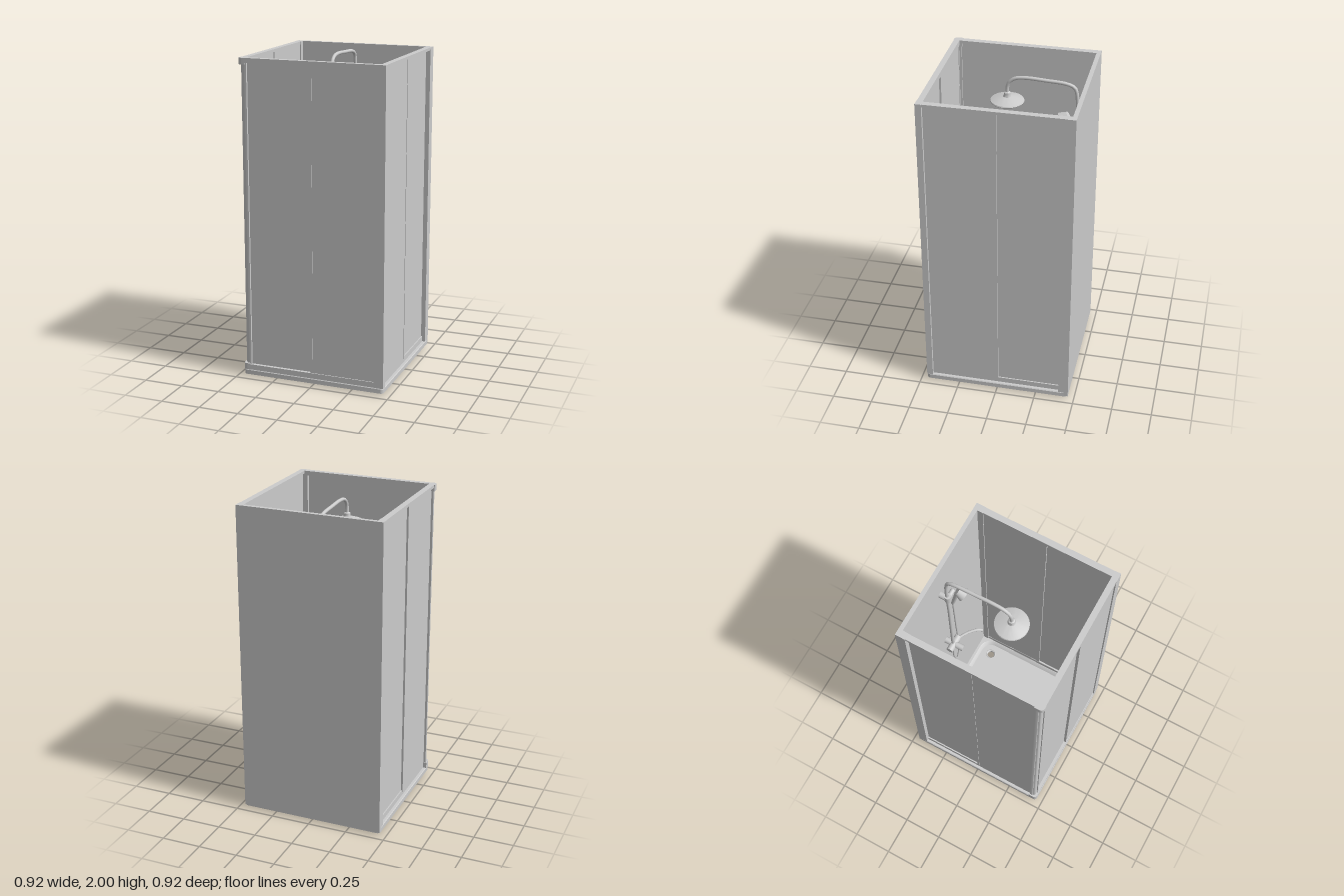
import * as THREE from 'three';
import { toCreasedNormals } from 'three/addons/utils/BufferGeometryUtils.js';

const grey = new THREE.MeshStandardMaterial({ color: 0xcccccc });
const thin = new THREE.MeshStandardMaterial({ color: 0xcccccc, side: THREE.DoubleSide });
const V = (x, y, z) => new THREE.Vector3(x, y, z);

function add(parent, name, geometry, material = grey) {
  const mesh = new THREE.Mesh(geometry, material);
  mesh.name = name;
  parent.add(mesh);
  return mesh;
}

// Box given by its limits on each axis
function box(parent, name, [x0, x1], [y0, y1], [z0, z1]) {
  const mesh = add(parent, name, new THREE.BoxGeometry(x1 - x0, y1 - y0, z1 - z0));
  mesh.position.set((x0 + x1) / 2, (y0 + y1) / 2, (z0 + z1) / 2);
  return mesh;
}

// Round bar between two points
function rod(parent, name, a, b, r0, r1 = r0) {
  const mesh = add(parent, name, new THREE.CylinderGeometry(r1, r0, a.distanceTo(b), 24));
  mesh.position.copy(a).lerp(b, 0.5);
  mesh.quaternion.setFromUnitVectors(V(0, 1, 0), b.clone().sub(a).normalize());
  return mesh;
}

function tube(parent, name, points, radius) {
  const curve = new THREE.CatmullRomCurve3(points, false, 'centripetal');
  return add(parent, name, new THREE.TubeGeometry(curve, 64, radius, 16), thin);
}

function lathe(parent, name, profile, position) {
  const points = profile.map(([r, y]) => new THREE.Vector2(r, y));
  const geometry = toCreasedNormals(new THREE.LatheGeometry(points, 48), 0.6);
  const mesh = add(parent, name, geometry, thin);
  mesh.position.copy(position);
  return mesh;
}

// Outline of a square with rounded corners: half size h, corner radius r
function roundedSquare(h, r, steps = 8) {
  const points = [];
  for (let c = 0; c < 4; c++) {
    const mid = Math.PI / 4 + c * Math.PI / 2;
    const cx = Math.sign(Math.cos(mid)) * (h - r), cz = Math.sign(Math.sin(mid)) * (h - r);
    for (let i = 0; i <= steps; i++) {
      const a = (c + i / steps) * Math.PI / 2;
      points.push(new THREE.Vector2(cx + r * Math.cos(a), cz + r * Math.sin(a)));
    }
  }
  return points;
}

// Skin through rounded square rings given as [half size, radius, y]
function loft(rings) {
  const positions = [], index = [];
  const n = roundedSquare(1, 0.1).length;
  rings.forEach(([h, r, y], k) => {
    roundedSquare(h, r).forEach((p, i) => {
      positions.push(p.x, y, p.y);
      if (k === 0) return;
      const a = (k - 1) * n + i, b = (k - 1) * n + (i + 1) % n;
      index.push(a, a + n, b, b, a + n, b + n);
    });
  });
  const geometry = new THREE.BufferGeometry();
  geometry.setAttribute('position', new THREE.Float32BufferAttribute(positions, 3));
  geometry.setIndex(index);
  return toCreasedNormals(geometry, 0.5);
}

// Upright profile at the front left corner, rounded on its outer edge
function cornerProfile(parent, name, [x0, x1], [z0, z1], [y0, y1], r) {
  const s = new THREE.Shape();
  s.moveTo(x0, -z0);
  s.lineTo(x0, -z1 + r);
  s.quadraticCurveTo(x0, -z1, x0 + r, -z1);
  s.lineTo(x1, -z1);
  s.lineTo(x1, -z0);
  const geometry = new THREE.ExtrudeGeometry(s, { depth: y1 - y0, bevelEnabled: false, curveSegments: 10 });
  geometry.rotateX(-Math.PI / 2).translate(0, y0, 0);
  add(parent, name, toCreasedNormals(geometry, 0.5));
}

function makeTray() {
  const tray = new THREE.Group();
  tray.name = 'tray';
  add(tray, 'trayRim', loft([
    [0.435, 0.02, 0.036], [0.445, 0.02, 0.014], [0.46, 0.02, 0.014], [0.46, 0.02, 0.041],
    [0.456, 0.018, 0.046], [0.42, 0.085, 0.046], [0.415, 0.082, 0.042], [0.4, 0.07, 0.02],
  ]), thin);
  const floor = new THREE.Shape(roundedSquare(0.4, 0.07));
  floor.holes.push(new THREE.Path().absarc(0.33, 0.33, 0.033, 0, Math.PI * 2, true));
  add(tray, 'trayFloor', new THREE.ShapeGeometry(floor, 32).rotateX(-Math.PI / 2).translate(0, 0.02, 0), thin);
  lathe(tray, 'drain', [[0.034, 0.02], [0.031, 0.022], [0.024, 0.016], [0.024, 0], [0.03, 0], [0.03, 0.02]],
    V(0.33, 0, -0.33));
  return tray;
}

function makeFront() {
  const front = new THREE.Group();
  front.name = 'frontDoors';
  box(front, 'topRail', [-0.42, 0.46], [1.97, 2], [0.422, 0.458]);
  box(front, 'bottomRail', [-0.42, 0.46], [0.046, 0.08], [0.422, 0.458]);
  box(front, 'frontPost', [0.4, 0.46], [0.046, 2], [0.422, 0.46]);
  box(front, 'slidingPanel', [-0.42, 0.01], [0.08, 1.97], [0.428, 0.438]);
  box(front, 'fixedPanel', [0, 0.4], [0.08, 1.97], [0.442, 0.452]);
  box(front, 'meetingStile', [-0.012, 0.002], [0.08, 1.97], [0.428, 0.454]);
  box(front, 'leftStile', [-0.422, -0.412], [0.08, 1.97], [0.425, 0.452]);
  // Recessed corner upright between two caps
  cornerProfile(front, 'cornerPost', [-0.45, -0.422], [0.41, 0.446], [0.08, 1.96], 0.018);
  cornerProfile(front, 'cornerPostEdge', [-0.455, -0.445], [0.41, 0.43], [0.08, 1.96], 0.004);
  cornerProfile(front, 'topCornerCap', [-0.463, -0.42], [0.405, 0.46], [1.96, 2], 0.025);
  cornerProfile(front, 'bottomCornerCap', [-0.463, -0.42], [0.405, 0.46], [0.046, 0.085], 0.025);
  return front;
}

function makeSide(s, name) {
  const side = new THREE.Group();
  side.name = name;
  const span = (a, b) => (s > 0 ? [a, b] : [-b, -a]);
  box(side, 'topRail', span(0.42, 0.458), [1.982, 2], [-0.4, 0.425]);
  box(side, 'bottomRail', span(0.422, 0.44), [0.046, 0.08], [-0.4, 0.425]);
  box(side, 'wallPost', span(0.418, 0.46), [0.046, 2], [-0.436, -0.4]);
  box(side, 'frontPanel', span(0.433, 0.441), [0.07, 1.983], [-0.005, 0.425]);
  box(side, 'rearPanel', span(0.424, 0.432), [0.07, 1.983], [-0.4, 0.01]);
  box(side, 'meetingStile', span(0.424, 0.444), [0.07, 1.983], [-0.006, 0.008]);
  rod(side, 'screw', V(s * 0.44, 1.999, -0.408), V(s * 0.44, 2, -0.408), 0.005);
  return side;
}

function makeShower() {
  const shower = new THREE.Group();
  shower.name = 'shower';
  const x = -0.035, z = -0.385;
  // Riser bending over into the arm
  tube(shower, 'riserAndArm', [
    V(x, 1, z), V(x, 1.5, z), V(x, 1.9, z), V(x, 1.945, z + 0.015), V(x, 1.965, z + 0.06),
    V(x, 1.975, -0.2), V(x, 1.98, -0.07), V(x, 1.97, -0.01), V(x, 1.94, 0.025), V(x, 1.9, 0.035), V(x, 1.87, 0.035),
  ], 0.011);
  lathe(shower, 'rainHead', [
    [0, -0.012], [0.1, -0.012], [0.103, -0.008], [0.1, -0.002], [0.06, 0.012], [0.024, 0.02],
    [0.02, 0.03], [0.02, 0.045], [0.012, 0.052],
  ], V(x, 1.83, 0.035));
  // Wall bracket and slider
  rod(shower, 'wallBracket', V(x, 1.72, -0.436), V(x, 1.72, z), 0.02);
  rod(shower, 'sliderBody', V(x, 1.69, z), V(x, 1.75, z), 0.02);
  rod(shower, 'sliderArm', V(x, 1.72, z), V(0.025, 1.72, z), 0.014);
  // Hand shower
  rod(shower, 'handShowerHandle', V(0.01, 1.56, -0.385), V(0.01, 1.76, -0.345), 0.011, 0.015);
  const head = rod(shower, 'handShowerHead', V(0.01, 1.785, -0.345), V(0.014, 1.76, -0.305), 0.025, 0.042);
  head.name = 'handShowerHead';
  // Mixer with its lever and hose
  rod(shower, 'mixerBody', V(-0.09, 1, z + 0.005), V(0.02, 1, z + 0.005), 0.022);
  rod(shower, 'mixerMount', V(x, 1, -0.436), V(x, 1, -0.31), 0.02);
  tube(shower, 'mixerLever', [V(0.02, 1, -0.37), V(0.07, 1.01, -0.335), V(0.11, 1.015, -0.295), V(0.13, 1.01, -0.262)], 0.009);
  tube(shower, 'hose', [V(x, 0.98, z), V(-0.03, 0.75, -0.39), V(0, 0.65, -0.39), V(0.03, 0.75, -0.39),
    V(0.025, 1.2, -0.39), V(0.01, 1.56, -0.385)], 0.006);
  return shower;
}

export function createModel() {
  const model = new THREE.Group();
  model.name = 'showerCabin';
  model.add(makeTray(), makeFront(), makeSide(1, 'leftSide'), makeSide(-1, 'rightSide'), makeShower());
  box(model, 'backWall', [-0.46, 0.46], [0.02, 2], [-0.462, -0.436]);
  return model;
}
